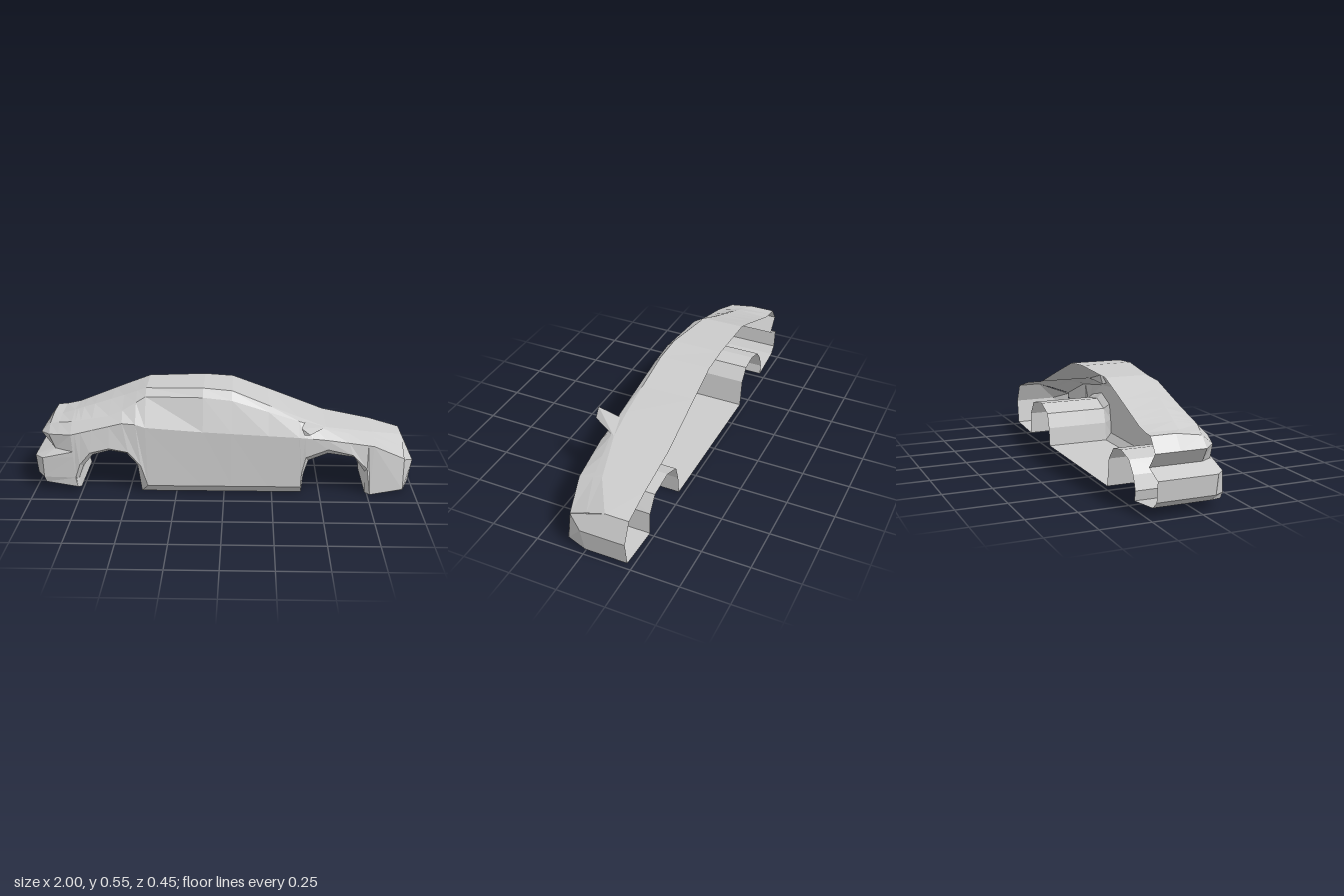
import * as THREE from 'three';
import { ConvexGeometry } from 'three/addons/geometries/ConvexGeometry.js';

const CUT = -0.225; // open centre plane of the half shell
const material = new THREE.MeshStandardMaterial({ color: 0xcccccc, flatShading: true, side: THREE.DoubleSide });

// Skin between neighbouring rows of [x, y, z] points
function skin(name, rows) {
  const pos = [];
  const tri = (...p) => {
    const [a, b, c] = p.map(q => new THREE.Vector3(...q));
    if (b.sub(a).cross(c.sub(a)).length() > 1e-7) pos.push(...p.flat());
  };
  for (let i = 0; i < rows.length - 1; i++) {
    for (let j = 0; j < rows[i].length - 1; j++) {
      const a = rows[i][j], b = rows[i][j + 1], c = rows[i + 1][j + 1], d = rows[i + 1][j];
      tri(a, b, c);
      tri(a, c, d);
    }
  }
  const g = new THREE.BufferGeometry();
  g.setAttribute('position', new THREE.Float32BufferAttribute(pos, 3));
  g.computeVertexNormals();
  const mesh = new THREE.Mesh(g, material);
  mesh.name = name;
  return mesh;
}

// Point at x on a lengthwise line of [x, y, z] points
function at(line, x) {
  let i = 0;
  while (i < line.length - 2 && line[i + 1][0] < x) i++;
  const [a, b] = [line[i], line[i + 1]];
  const t = THREE.MathUtils.clamp((x - a[0]) / (b[0] - a[0]), 0, 1);
  return a.map((v, k) => v + (b[k] - v) * t);
}

// Lengthwise lines: centre, roof edge, window top, belt
const centre = [[-0.92, 0.365], [-0.88, 0.367], [-0.81, 0.38], [-0.53, 0.49], [-0.41, 0.535], [-0.11, 0.545],
  [0.04, 0.535], [0.23, 0.465], [0.4, 0.4], [0.53, 0.35], [0.78, 0.3], [0.95, 0.25]].map(p => [...p, CUT]);
const roofEdge = [[-0.92, 0.365, -0.1], [-0.87, 0.367, -0.06], [-0.53, 0.485, -0.02], [-0.41, 0.532, 0], [-0.11, 0.545, 0.04],
  [0.04, 0.533, 0.045], [0.23, 0.46, 0.06], [0.39, 0.4, 0.07], [0.53, 0.347, 0.07], [0.79, 0.297, 0], [0.95, 0.25, -0.1]];
const windowTop = [[-0.92, 0.345, 0.03], [-0.8, 0.365, 0.07], [-0.57, 0.41, 0.09], [-0.41, 0.5, 0.055], [-0.11, 0.505, 0.08],
  [0.04, 0.49, 0.082], [0.4, 0.385, 0.105], [0.53, 0.34, 0.09], [0.79, 0.283, 0.05], [0.948, 0.215, 0]];
const belt = [[-0.92, 0.3, 0.085], [-0.8, 0.31, 0.125], [-0.5, 0.385, 0.13], [-0.39, 0.352, 0.14],
  [0.4, 0.312, 0.146], [0.54, 0.3, 0.145], [0.78, 0.262, 0.128], [0.945, 0.18, 0.09]];
const upper = x => [centre, roofEdge, windowTop, belt].map(l => at(l, x));

// Stations: upper x, then side edge x, y and underside x, y around the arches and sill
const stations = [
  [-0.8, -0.77, 0.03, -0.755, 0.02], [-0.78, -0.78, 0.08, -0.765, 0.07], [-0.75, -0.755, 0.155, -0.74, 0.14],
  [-0.69, -0.7, 0.22, -0.69, 0.2], [-0.6, -0.6, 0.245, -0.6, 0.225], [-0.53, -0.5, 0.225, -0.51, 0.21],
  [-0.46, -0.435, 0.15, -0.455, 0.145], [-0.41, -0.4, 0.04, -0.435, 0], [-0.11, -0.11, 0.04, -0.11, 0],
  [0.04, 0.04, 0.04, 0.04, 0], [0.23, 0.23, 0.04, 0.23, 0], [0.39, 0.4, 0.04, 0.405, 0],
  [0.42, 0.405, 0.12, 0.415, 0.1], [0.46, 0.425, 0.205, 0.44, 0.18], [0.53, 0.54, 0.25, 0.54, 0.22],
  [0.65, 0.67, 0.22, 0.68, 0.2], [0.75, 0.745, 0.145, 0.735, 0.12], [0.78, 0.765, 0, 0.74, 0]];

export function createModel() {
  const car = new THREE.Group();
  car.name = 'halfCarBody';

  // Roof, side, arches and floor in one loft
  const rows = stations.map(([x, xs, ys, xb, yb]) =>
    [...upper(x), [xs, ys, 0.15], [xb, yb, 0.12], [xb, yb, 0], [xb, yb, CUT]]);
  rows.push([...upper(0.95), [0.94, 0.016, 0.112], [0.94, 0.013, 0.11], [0.98, 0.015, 0], [0.98, 0.015, CUT]]);
  car.add(skin('bodyShell', rows));

  // Boot lid behind the rear arch
  car.add(skin('bootLid', [-0.92, -0.87, -0.8].map(upper)));

  // Nose, from the bonnet lip down
  car.add(skin('nose', [
    [[0.95, 0.25, CUT], [0.95, 0.25, -0.1], [0.945, 0.18, 0.09]],
    [[1, 0.145, CUT], [1, 0.145, 0.01], [0.945, 0.175, 0.09]],
    [[0.98, 0.015, CUT], [0.98, 0.015, 0], [0.94, 0.013, 0.11]]]));

  // Tail: lid lip, notch, bumper and its underside; each row runs side, corner, rear face
  const tail = [
    [[-0.8, 0.31, 0.125], [-0.92, 0.3, 0.085], -0.92, 0.365, 0.03],
    [[-0.8, 0.31, 0.125], [-0.92, 0.295, 0.085], -0.97, 0.295, 0.03],
    [[-0.79, 0.22, 0.135], [-0.89, 0.225, 0.09], -0.91, 0.22, 0.04],
    [[-0.785, 0.19, 0.138], [-0.955, 0.18, 0.12], -1, 0.18, 0.075],
    [[-0.775, 0.08, 0.147], [-0.95, 0.075, 0.125], -0.99, 0.08, 0.07],
    [[-0.77, 0.03, 0.15], [-0.94, 0.045, 0.12], -0.95, 0.045, 0.07],
    [[-0.755, 0.02, 0.12], [-0.755, 0.02, 0.11], -0.755, 0.02, 0.07]
  ].map(([side, corner, x, y, z], i) =>
    [side, corner, [x, i ? y : 0.345, z], [x, y, -0.1], [x, y, CUT]]);
  car.add(skin('tail', tail));

  // Wing mirror
  const mirrorPoints = [[0.395, 0.393, 0.225], [0.44, 0.355, 0.218], [0.41, 0.355, 0.218],
    [0.42, 0.385, 0.09], [0.53, 0.347, 0.07], [0.43, 0.325, 0.11]];
  const mirror = new THREE.Mesh(new ConvexGeometry(mirrorPoints.map(p => new THREE.Vector3(...p))), material);
  mirror.name = 'wingMirror';
  car.add(mirror);
  return car;
}
